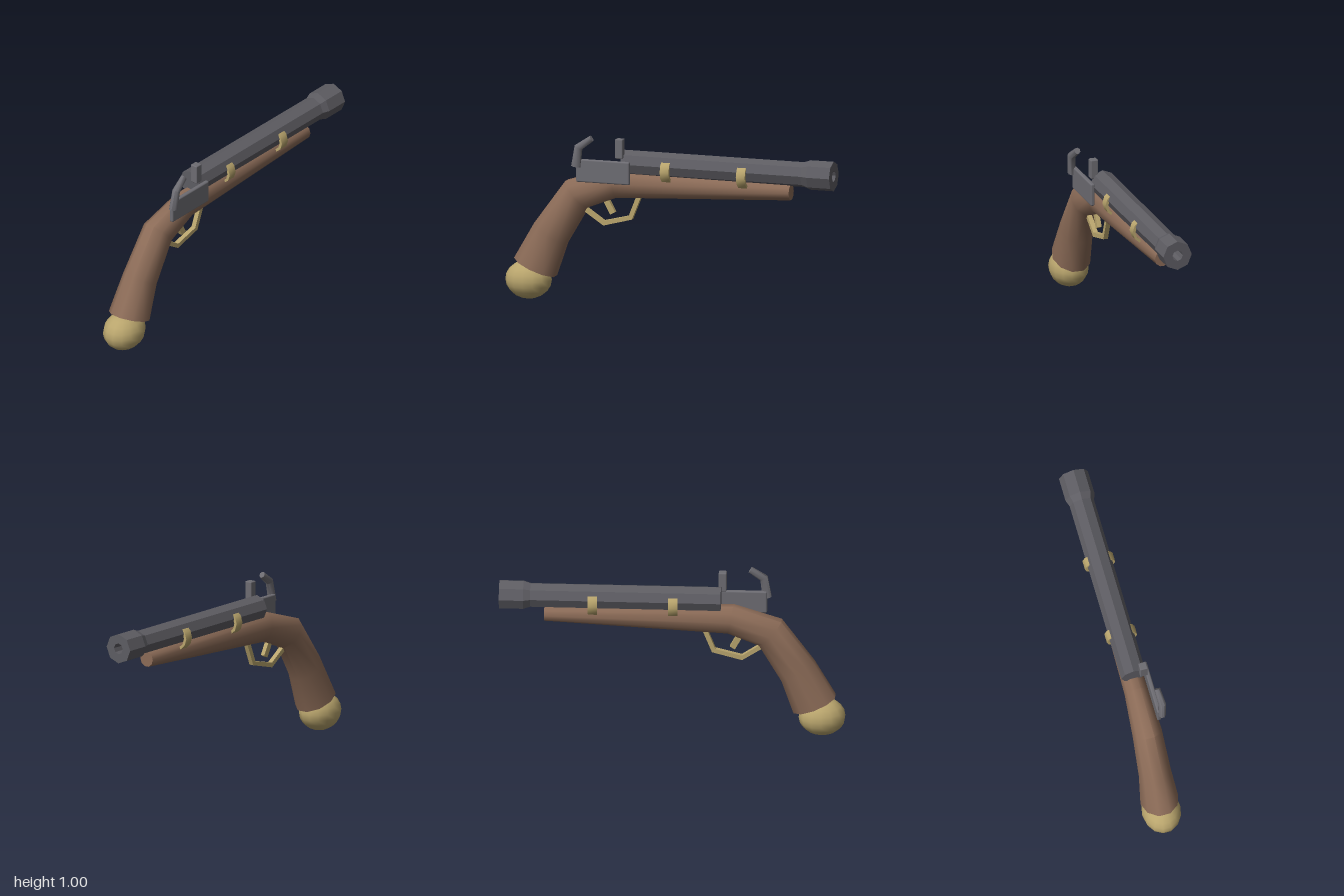
import * as THREE from 'three';
import { toCreasedNormals } from 'three/addons/utils/BufferGeometryUtils.js';
import { RoundedBoxGeometry } from 'three/addons/geometries/RoundedBoxGeometry.js';

const CX = -0.008; // centre line of the barrel and stock

const mat = (color, extra = {}) => {
  const m = new THREE.MeshStandardMaterial({ color });
  return Object.assign(m, extra);
};

// Closed loft through rings [topZ, topY, bottomZ, bottomY, halfWidth, x]
function loft(rings, n, crease) {
  const pos = [], idx = [];
  const k = 1 / Math.cos(Math.PI / n);
  for (const [tz, ty, bz, by, hw, x = CX] of rings) {
    for (let j = 0; j < n; j++) {
      const a = ((j + 0.5) / n) * Math.PI * 2;
      const c = Math.cos(a) * k * 0.5;
      pos.push(x + Math.sin(a) * hw, (ty + by) / 2 + c * (ty - by), (tz + bz) / 2 + c * (tz - bz));
    }
  }
  const last = (rings.length - 1) * n;
  for (let i = 0; i < last; i += n) {
    for (let j = 0; j < n; j++) {
      const j2 = (j + 1) % n;
      idx.push(i + j, i + j2, i + n + j, i + j2, i + n + j2, i + n + j);
    }
  }
  for (let j = 1; j < n - 1; j++) {
    idx.push(0, j + 1, j, last, last + j, last + j + 1);
  }
  const g = new THREE.BufferGeometry();
  g.setAttribute('position', new THREE.Float32BufferAttribute(pos, 3));
  g.setIndex(idx);
  return toCreasedNormals(g, crease);
}

// Profile [radius, distance] turned around the barrel axis, pointing towards -z
function turned(profile, sides) {
  const g = new THREE.LatheGeometry(profile.map(([r, d]) => new THREE.Vector2(r, d)), sides);
  return g.rotateX(-Math.PI / 2);
}

export function createModel() {
  const group = new THREE.Group();
  const wood = mat(0x8b6b57);
  const brass = mat(0xb9a56d);
  const steel = mat(0x5d5c62, { flatShading: true });
  const lockSteel = mat(0x6d6c72);

  const add = (name, geometry, material, x = 0, y = 0, z = 0) => {
    const m = new THREE.Mesh(geometry, material);
    m.name = name;
    m.position.set(x, y, z);
    group.add(m);
    return m;
  };

  // Wooden grip and fore stock in one sweep
  add('stock', loft([
    [0.94, 0.24, 0.70, 0.14, 0.112],
    [0.82, 0.45, 0.63, 0.34, 0.095],
    [0.63, 0.71, 0.50, 0.56, 0.087],
    [0.35, 0.80, 0.32, 0.63, 0.070],
    [-0.74, 0.772, -0.74, 0.683, 0.046],
  ], 10, 0.8), wood);

  // Rounded butt cap
  const butt = add('buttCap', new THREE.SphereGeometry(1, 14, 10), brass, CX, 0.113, 0.863);
  butt.scale.set(0.114, 0.113, 0.137);

  // Octagonal barrel with flared muzzle and open bore
  add('barrel', turned([
    [0, -0.28], [0.074, -0.28], [0.073, 0.82], [0.087, 0.86],
    [0.087, 1], [0.032, 1], [0.032, 0.85], [0, 0.85],
  ], 8), steel, CX, 0.838, 0);

  // Barrel bands
  for (const z of [0.005, -0.46]) {
    const band = add('barrelBand', toCreasedNormals(turned([
      [0.074, -0.027], [0.091, -0.027], [0.091, 0.027], [0.074, 0.027], [0.074, -0.027],
    ], 12), 0.7), brass, CX, 0.81, z);
    band.scale.y = 0.88;
  }

  // Lock plate, striking plate and hammer on the left side
  add('lockPlate', new RoundedBoxGeometry(0.026, 0.135, 0.325, 2, 0.009), lockSteel, 0.073, 0.79, 0.38);
  add('strikingPlate', new RoundedBoxGeometry(0.046, 0.115, 0.046, 2, 0.006), lockSteel, 0.046, 0.928, 0.287);
  add('hammer', loft([
    [0.567, 0.818, 0.515, 0.81, 0.023, 0.088],
    [0.543, 0.942, 0.502, 0.918, 0.023, 0.095],
    [0.455, 1.0, 0.435, 0.97, 0.018, 0.087],
  ], 8, 0.8), lockSteel);

  // Trigger guard strap
  add('triggerGuard', loft([
    [0.53, 0.575, 0.54, 0.55, 0.02],
    [0.40, 0.488, 0.402, 0.46, 0.02],
    [0.248, 0.526, 0.228, 0.506, 0.02],
    [0.195, 0.66, 0.17, 0.65, 0.02],
  ], 4, 0.4), brass);

  // Trigger
  const trigger = add('trigger', new THREE.BoxGeometry(0.026, 0.13, 0.034), brass, CX, 0.592, 0.377);
  trigger.rotation.x = 0.5;

  return group;
}
